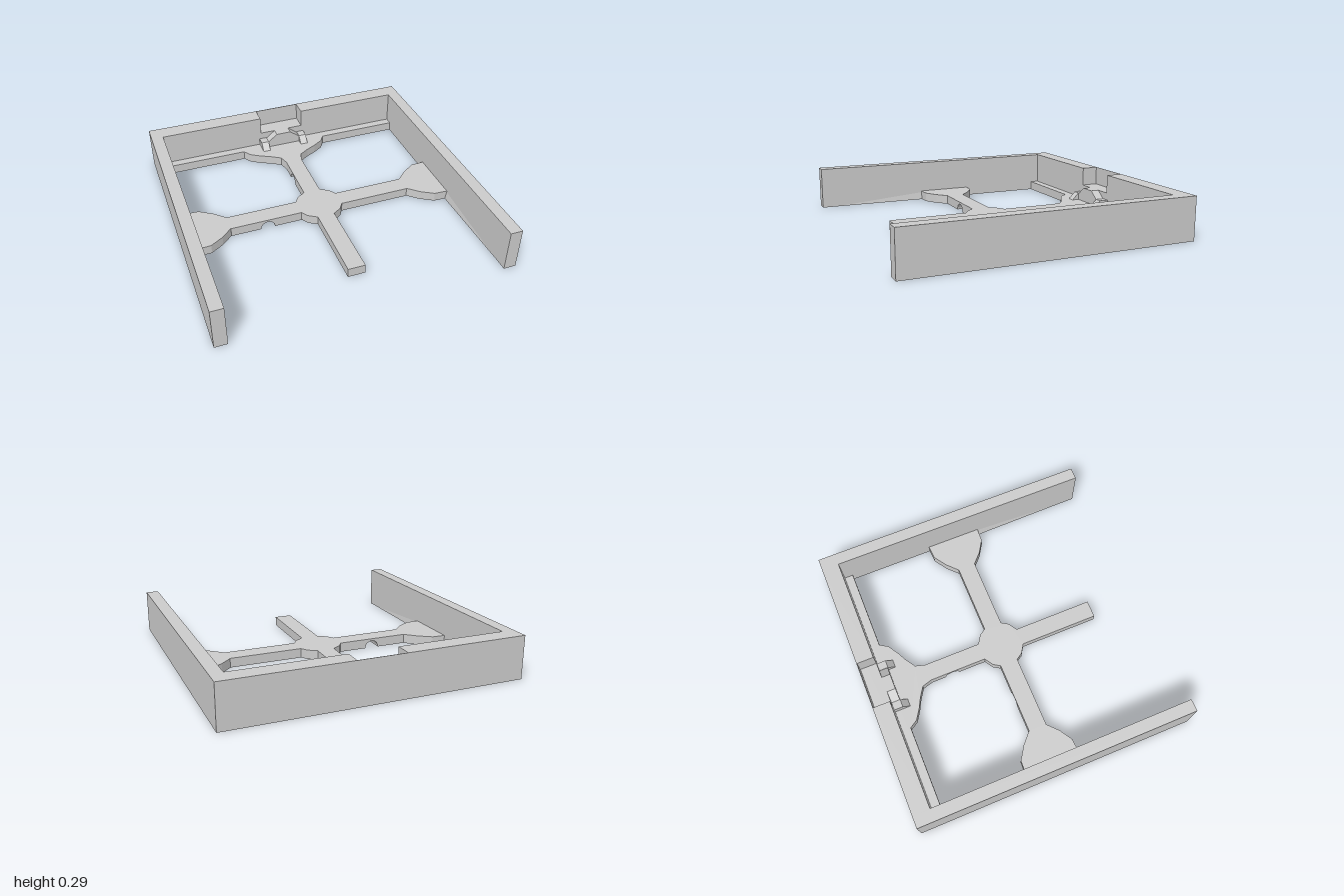
import * as THREE from 'three';

const material = new THREE.MeshStandardMaterial({ color: 0xcccccc, flatShading: true });
const H = 0.295;   // wall height
const T = 0.065;   // thickness of the floor web
const BACK = -0.98, FRONT = 0.98, INNER = 0.915;

export function createModel() {
  const group = new THREE.Group();

  const add = (name, geometry) => {
    const mesh = new THREE.Mesh(geometry, material);
    mesh.name = name;
    group.add(mesh);
    return mesh;
  };

  // Box given by its limits
  const box = (name, x0, x1, y0, y1, z0, z1) => {
    const g = new THREE.BoxGeometry(x1 - x0, y1 - y0, z1 - z0);
    g.translate((x0 + x1) / 2, (y0 + y1) / 2, (z0 + z1) / 2);
    return add(name, g);
  };

  const extrude = (shape, depth) =>
    new THREE.ExtrudeGeometry(shape, { depth, bevelEnabled: false, curveSegments: 16 });
  const polygon = (pts) => new THREE.Shape(pts.map(([a, b]) => new THREE.Vector2(a, b)));

  // Flat floor piece from an outline of [x, z] points
  const slab = (name, pts) =>
    add(name, extrude(polygon(pts.map(([x, z]) => [x, -z])), T).rotateX(-Math.PI / 2));

  // Arm profile with a half-round channel in its underside
  const channelArm = (a0, a1, centre, width) => {
    const s = new THREE.Shape();
    s.moveTo(a0, 0);
    s.lineTo(centre - 0.05, 0);
    s.absarc(centre, 0, 0.05, Math.PI, 0, true);
    s.lineTo(a1, 0);
    s.lineTo(a1, T);
    s.lineTo(a0, T);
    s.closePath();
    return extrude(s, width).translate(0, 0, -width / 2);
  };

  // Back wall with a recess closed by a thin outer skin
  box('backWallLower', -INNER, INNER, 0, 0.165, BACK, -0.86);
  box('recessSkin', -0.165, 0.165, 0.165, H, BACK, BACK + 0.004);
  box('backLedge', -INNER, INNER, 0, T, -0.86, -0.8);

  for (const [side, s] of [['left', 1], ['right', -1]]) {
    const span = (a, b) => (s > 0 ? [a, b] : [-b, -a]);
    box(side + 'Wall', ...span(INNER, 1), 0, H, BACK, FRONT);
    box(side + 'BackWallUpper', ...span(0.165, INNER), 0.165, H, BACK, -0.86);

    // Flared arm root
    slab(side + 'ArmFlare', [
      [0.655, -0.065], [0.73, -0.135], [0.82, -0.195], [INNER, -0.2],
      [INNER, 0.19], [0.82, 0.185], [0.73, 0.13], [0.655, 0.06],
    ].map(([x, z]) => [s * x, z]));

    // Small hook with a sloping front beside the raised pad
    const hook = extrude(polygon([[-0.86, T], [-0.75, T], [-0.798, 0.115], [-0.86, 0.115]]), 0.055);
    hook.rotateY(-Math.PI / 2);
    hook.translate(s > 0 ? 0.18 : -0.125, 0, 0);
    add(side + 'Hook', hook);

    // Slim gusset tapering forward along the wall foot
    const foot = extrude(polygon([[INNER, 0], [INNER - 0.01, 0], [INNER, 0.055]]
      .map(([x, y]) => [s * x, y])), 0.65);
    const p = foot.attributes.position;
    for (let i = 0; i < p.count; i++) {
      if (p.getZ(i) > 0.3) {
        p.setX(i, s * (INNER - (INNER - Math.abs(p.getX(i))) * 0.05));
        p.setY(i, p.getY(i) * 0.05);
      }
    }
    foot.translate(0, 0, 0.19);
    foot.computeVertexNormals();
    add(side + 'WallGusset', foot);
  }

  // Raised pad with chamfered shoulders, level with the recess floor
  add('raisedPad', extrude(polygon([
    [-0.125, T], [0.125, T], [0.125, 0.11], [0.055, 0.165], [-0.055, 0.165], [-0.125, 0.11],
  ]), 0.06).translate(0, 0, -0.86));

  // Central hub and the four arms
  const corner = [[0.15, 0.063], [0.12, 0.11], [0.06, 0.148]];
  const flip = [...corner].reverse();
  slab('hub', [
    ...corner, ...flip.map(([x, z]) => [-x, z]),
    ...corner.map(([x, z]) => [-x, -z]), ...flip.map(([x, z]) => [x, -z]),
  ]);
  box('leftArm', 0.15, 0.655, 0, T, -0.063, 0.063);
  box('frontArm', -0.06, 0.06, 0, T, 0.148, 0.705);
  add('rightArm', channelArm(-0.655, -0.15, -0.395, 0.126));
  add('backArm', channelArm(0.148, 0.55, 0.395, 0.12).rotateY(Math.PI / 2));

  // Wide flare where the back arm meets the ledge
  const flare = [[0.06, -0.55], [0.08, -0.62], [0.15, -0.665], [0.22, -0.7], [0.29, -0.745], [0.325, -0.8]];
  slab('backArmFlare', [...flare, ...[...flare].reverse().map(([x, z]) => [-x, z])]);

  return group;
}
